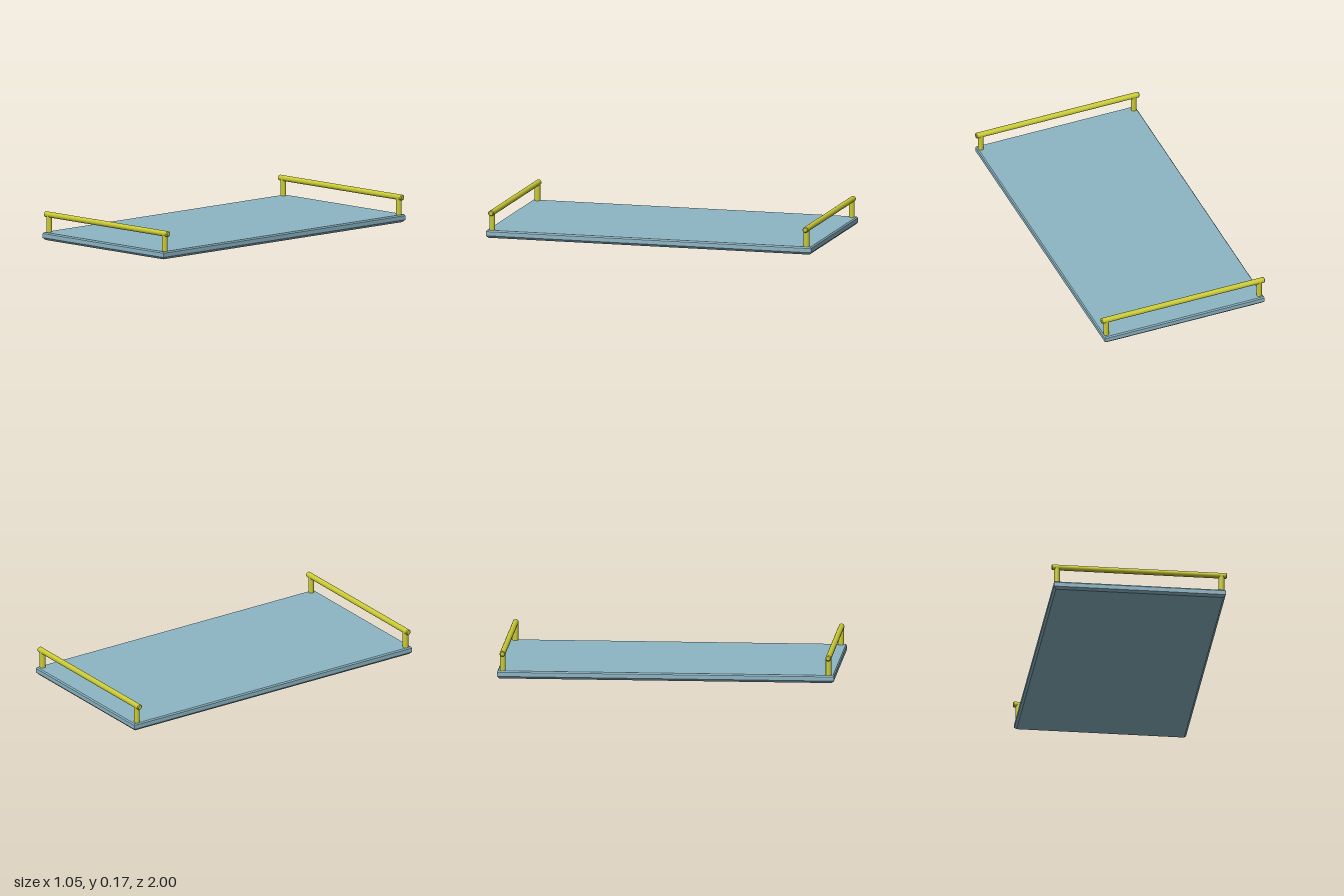
import * as THREE from 'three';

const boardBlue = new THREE.MeshStandardMaterial({ color: 0x8db6c5, flatShading: true });
boardBlue.name = 'board blue';
const railYellow = new THREE.MeshStandardMaterial({ color: 0xcaca35 });
railYellow.name = 'rail yellow';

// Flat board with chamfered upper and lower edges
function makeBoard() {
  const levels = [[0, 0.013], [0.014, 0], [0.039, 0], [0.047, 0.006]]; // height, inset
  const geometry = new THREE.BoxGeometry(2, 3, 2, 1, 3, 1);
  const p = geometry.attributes.position;
  for (let i = 0; i < p.count; i++) {
    const [y, inset] = levels[Math.round(p.getY(i) + 1.5)];
    p.setXYZ(i, Math.sign(p.getX(i)) * (0.512 - inset), y, Math.sign(p.getZ(i)) * (1 - inset));
  }
  geometry.computeVertexNormals();
  const board = new THREE.Mesh(geometry, boardBlue);
  board.name = 'board';
  return board;
}

// Round bar on two posts
function makeHandle(name, z) {
  const handle = new THREE.Group();
  handle.name = name;
  const r = 0.017, half = 0.523, bevel = 0.005;
  const ring = (x, y) => new THREE.Vector2(x, y);
  // Repeated points keep the end edges sharp
  const profile = [
    ring(0, -half), ring(r - bevel, -half), ring(r - bevel, -half),
    ring(r, bevel - half), ring(r, bevel - half), ring(r, half - bevel), ring(r, half - bevel),
    ring(r - bevel, half), ring(r - bevel, half), ring(0, half),
  ];
  const bar = new THREE.Mesh(new THREE.LatheGeometry(profile, 24), railYellow);
  bar.name = 'rail';
  bar.rotation.z = Math.PI / 2;
  bar.position.y = 0.151;
  handle.add(bar);
  for (const side of [-1, 1]) {
    const post = new THREE.Mesh(new THREE.CylinderGeometry(0.017, 0.017, 0.107, 24), railYellow);
    post.name = side > 0 ? 'leftPost' : 'rightPost';
    post.position.set(side * 0.49, 0.0975, 0);
    handle.add(post);
  }
  handle.position.z = z;
  return handle;
}

export function createModel() {
  const model = new THREE.Group();
  model.name = 'tray';
  model.add(makeBoard(), makeHandle('frontHandle', 0.967), makeHandle('backHandle', -0.967));
  return model;
}
